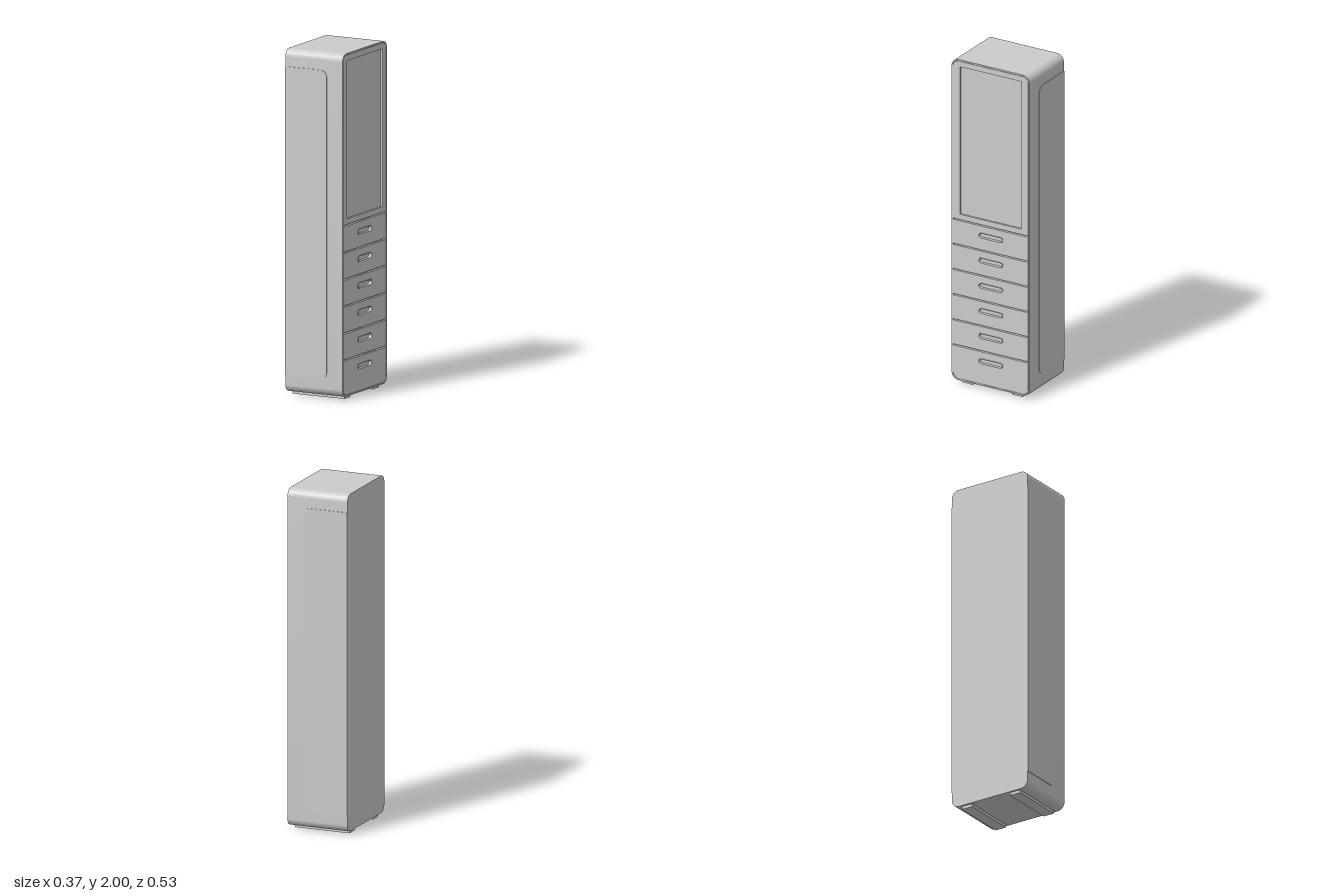
import * as THREE from 'three';
import { toCreasedNormals } from 'three/addons/utils/BufferGeometryUtils.js';

const material = new THREE.MeshStandardMaterial({ color: 0xcccccc });

// Rectangle outline with separate top and bottom corner radii
function roundRect(w, y0, y1, top, bottom = top, target = new THREE.Shape()) {
  const h = w / 2;
  target.moveTo(-h + bottom, y0);
  target.lineTo(h - bottom, y0);
  if (bottom) target.absarc(h - bottom, y0 + bottom, bottom, -Math.PI / 2, 0);
  target.lineTo(h, y1 - top);
  if (top) target.absarc(h - top, y1 - top, top, 0, Math.PI / 2);
  target.lineTo(-h + top, y1);
  if (top) target.absarc(-h + top, y1 - top, top, Math.PI / 2, Math.PI);
  target.lineTo(-h, y0 + bottom);
  if (bottom) target.absarc(-h + bottom, y0 + bottom, bottom, Math.PI, Math.PI * 1.5);
  return target;
}

// Extrude a z-y outline along x between x0 and x1
function slab(name, shape, x0, x1) {
  let geo = new THREE.ExtrudeGeometry(shape, { depth: x1 - x0, bevelEnabled: false, curveSegments: 12 });
  geo.rotateY(Math.PI / 2);
  geo.translate(x0, 0, 0);
  geo = toCreasedNormals(geo, 0.5);
  const mesh = new THREE.Mesh(geo, material);
  mesh.name = name;
  return mesh;
}

export function createModel() {
  const group = new THREE.Group();
  group.name = 'tallCabinet';
  const back = -0.187, inner = 0.168, front = 0.184;
  const y0 = 0.018, y1 = 2;

  // Carcass and the thin rim around its front
  group.add(slab('carcass', roundRect(0.52, y0, y1, 0.045), back, inner));
  const rim = roundRect(0.52, y0, y1, 0.045);
  rim.holes.push(roundRect(0.504, y0 + 0.008, y1 - 0.008, 0.037, 0.037, new THREE.Path()));
  group.add(slab('frontRim', rim, inner, front));

  // Door with a recessed centre panel
  const door = roundRect(0.5, 1.012, 1.99, 0.035, 0);
  door.holes.push(roundRect(0.41, 1.045, 1.957, 0, 0, new THREE.Path()));
  group.add(slab('doorFrame', door, inner, front));
  group.add(slab('doorPanel', roundRect(0.41, 1.045, 1.957, 0), inner, front - 0.01));

  // Six drawers with recessed grips and raised grip rings
  const pitch = 0.1555;
  for (let i = 0; i < 6; i++) {
    const top = 1.004 - i * pitch;
    const bottom = i === 5 ? 0.028 : top - pitch + 0.008;
    const grip = 0.945 - i * pitch;
    const drawer = roundRect(0.5, bottom, top, 0, i === 5 ? 0.035 : 0);
    drawer.holes.push(roundRect(0.156, grip - 0.014, grip + 0.014, 0.0139, 0.0139, new THREE.Path()));
    group.add(slab('drawerFront', drawer, inner, front));
    const ring = roundRect(0.166, grip - 0.018, grip + 0.018, 0.0179);
    ring.holes.push(roundRect(0.156, grip - 0.014, grip + 0.014, 0.0139, 0.0139, new THREE.Path()));
    group.add(slab('gripRing', ring, front - 0.002, 0.187));
  }

  // Side panels, square at the back and rounded toward the front; runners below
  const side = new THREE.Shape();
  side.moveTo(back, 0.115);
  side.lineTo(0.043, 0.115);
  side.absarc(0.043, 0.155, 0.04, -Math.PI / 2, 0);
  side.lineTo(0.083, 1.86);
  side.absarc(0.043, 1.86, 0.04, 0, Math.PI / 2);
  side.lineTo(back, 1.9);
  const sideGeo = toCreasedNormals(
    new THREE.ExtrudeGeometry(side, { depth: 0.006, bevelEnabled: false, curveSegments: 10 }), 0.5);
  for (const s of [1, -1]) {
    const panel = new THREE.Mesh(sideGeo, material);
    panel.name = s > 0 ? 'leftSidePanel' : 'rightSidePanel';
    panel.position.z = s > 0 ? 0.257 : -0.263;
    group.add(panel);

    const runner = new THREE.Mesh(new THREE.BoxGeometry(0.34, 0.02, 0.07), material);
    runner.name = 'runner';
    runner.position.set(-0.005, 0.01, s * 0.165);
    group.add(runner);
  }
  return group;
}
